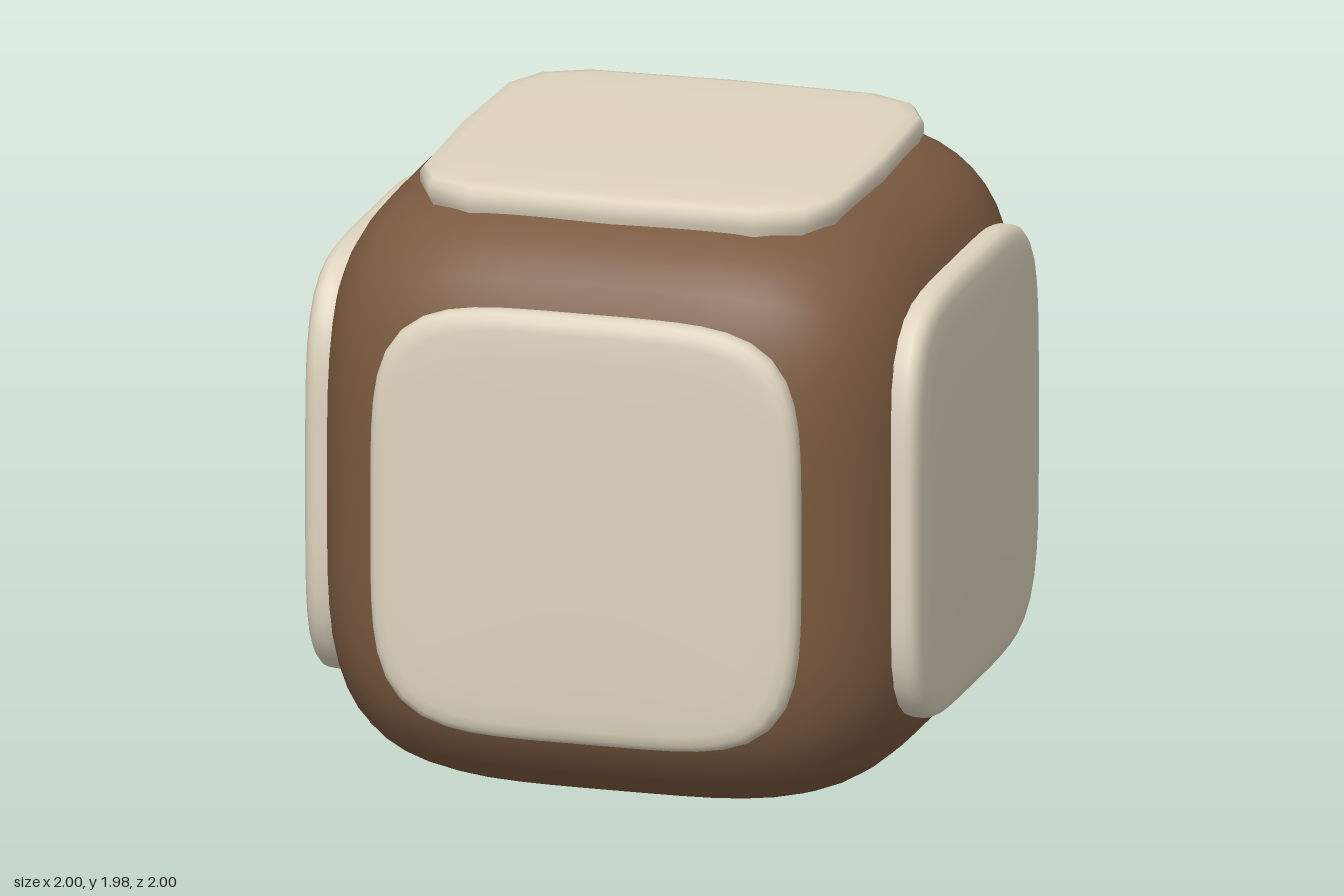
import * as THREE from 'three';
import { mergeVertices } from 'three/addons/utils/BufferGeometryUtils.js';

const HALF = 0.975; // half size of the body, also its centre height

// Soft cube: push box vertices onto a fourth-power superellipsoid
function softCube() {
  let geo = new THREE.BoxGeometry(2, 2, 2, 18, 18, 18);
  geo.deleteAttribute('uv');
  geo.deleteAttribute('normal');
  geo = mergeVertices(geo);
  const p = geo.attributes.position;
  for (let i = 0; i < p.count; i++) {
    const x = p.getX(i), y = p.getY(i), z = p.getZ(i);
    const k = HALF / Math.pow(x ** 4 + y ** 4 + z ** 4, 0.25);
    p.setXYZ(i, x * k, y * k, z * k);
  }
  geo.computeVertexNormals();
  return geo;
}

// Rounded-square outline, counterclockwise
function roundedSquare(r, n, count) {
  return Array.from({ length: count }, (_, i) => {
    const a = (i / count) * Math.PI * 2, c = Math.cos(a), s = Math.sin(a);
    const k = r / Math.pow(Math.abs(c) ** n + Math.abs(s) ** n, 1 / n);
    return [c * k, s * k];
  });
}

// Coarser outline: one quarter repeated around
function coarseSquare() {
  const quarter = [[0.69, 0], [0.673, 0.465], [0.605, 0.605], [0.465, 0.673]];
  const out = [];
  for (let q = 0; q < 4; q++) {
    for (let [x, y] of quarter) {
      for (let t = 0; t < q; t++) [x, y] = [-y, x];
      out.push([x, y]);
    }
  }
  return out;
}

// Cushion facing +z: scaled copies of the outline joined in rings, closed by a centre point
function cushion(outline, profile) {
  const n = outline.length, pos = [], idx = [];
  for (const [s, z] of profile) for (const [x, y] of outline) pos.push(x * s, y * s, z);
  pos.push(0, 0, 1);
  const centre = profile.length * n;
  for (let r = 0; r < profile.length; r++) {
    for (let i = 0; i < n; i++) {
      const j = (i + 1) % n, a = r * n + i, b = r * n + j;
      if (r < profile.length - 1) idx.push(a, b, b + n, a, b + n, a + n);
      else idx.push(a, b, centre);
    }
  }
  const geo = new THREE.BufferGeometry();
  geo.setAttribute('position', new THREE.Float32BufferAttribute(pos, 3));
  geo.setIndex(idx);
  geo.computeVertexNormals();
  return geo;
}

export function createModel() {
  const brown = new THREE.MeshStandardMaterial({ color: 0x7b5a40 });
  brown.name = 'brown';
  const cream = new THREE.MeshStandardMaterial({ color: 0xded4be });
  cream.name = 'cream';

  const model = new THREE.Group();
  model.name = 'paddedCube';
  const add = (name, geo, mat) => {
    const mesh = new THREE.Mesh(geo, mat);
    mesh.name = name;
    mesh.position.y = HALF;
    model.add(mesh);
    return mesh;
  };

  add('body', softCube(), brown);

  // Four side pads with soft rims
  const sideGeo = cushion(roundedSquare(0.69, 4.6, 64), [
    [0.965, 0.85], [0.99, 0.9], [1, 0.925], [1, 0.95], [0.99, 0.97],
    [0.965, 0.984], [0.92, 0.991], [0.8, 0.995], [0.45, 0.999],
  ]);
  ['frontPad', 'leftPad', 'backPad', 'rightPad'].forEach((name, i) => {
    add(name, sideGeo, cream).rotation.y = (i * Math.PI) / 2;
  });

  // Top pad with a crisper, coarser rim
  const topGeo = cushion(coarseSquare(), [
    [0.965, 0.85], [0.985, 0.91], [1, 0.93], [1, 0.965], [0.98, 0.985], [0.91, 0.995], [0.6, 0.999],
  ]);
  add('topPad', topGeo, cream).rotation.x = -Math.PI / 2;

  return model;
}
